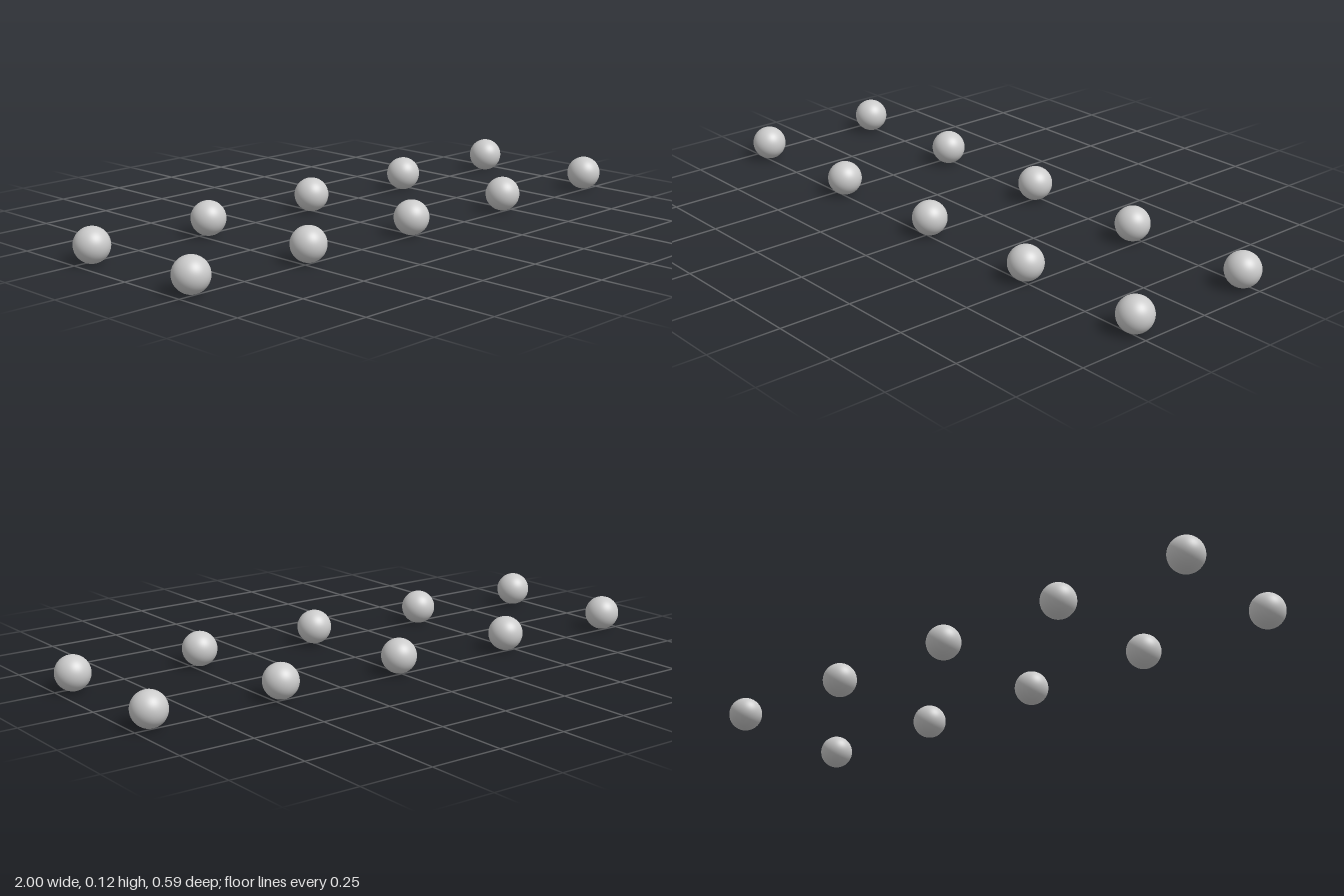
import * as THREE from 'three';

export function createModel() {
  const model = new THREE.Group();
  model.name = 'sphereGrid';

  const columns = 5;
  const rows = 2;
  const radius = 1 / 17;
  const spacing = 8 * radius;

  const geometry = new THREE.SphereGeometry(radius, 48, 32);
  const material = new THREE.MeshStandardMaterial({ color: 0xcccccc });

  // Two rows of five identical spheres resting on the ground
  for (let row = 0; row < rows; row++) {
    for (let column = 0; column < columns; column++) {
      const sphere = new THREE.Mesh(geometry, material);
      sphere.name = `sphereRow${row + 1}Column${column + 1}`;
      sphere.position.set(
        (column - (columns - 1) / 2) * spacing,
        radius,
        (row - (rows - 1) / 2) * spacing
      );
      model.add(sphere);
    }
  }

  return model;
}
